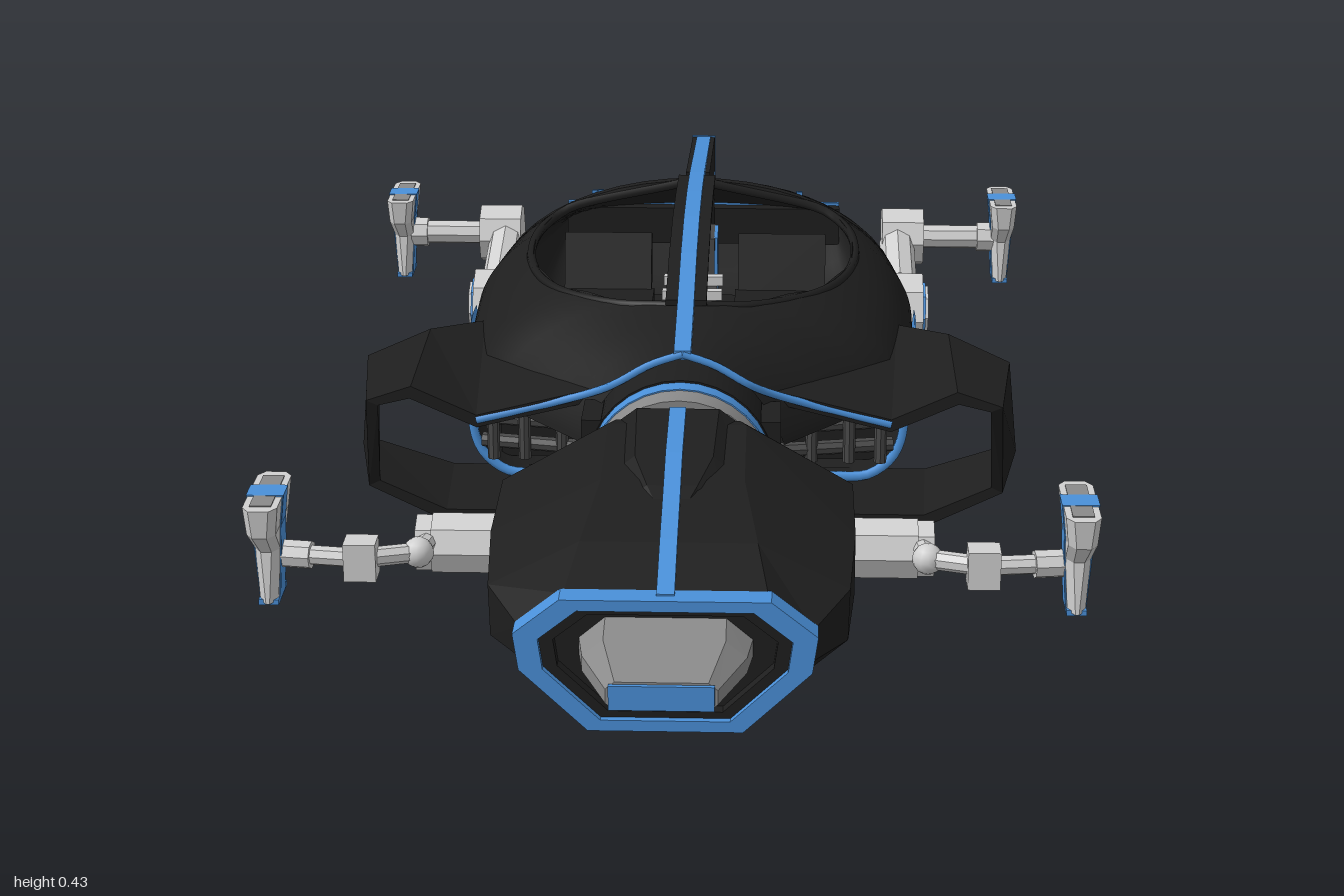
import * as THREE from 'three';
import { toCreasedNormals } from 'three/addons/utils/BufferGeometryUtils.js';

const paint = (name, color, side = THREE.FrontSide) => {
  const m = new THREE.MeshStandardMaterial({ color, side });
  m.name = name;
  return m;
};

// Linear lookup in a short [key, value] table
function lerpTable(table, k) {
  for (let i = 1; i < table.length; i++) {
    const [a, u] = table[i - 1], [b, v] = table[i];
    if (k <= b) return u + (v - u) * Math.max(0, (k - a) / (b - a));
  }
  return table[table.length - 1][1];
}

// Skin over cross-sections; winding is made to face outward
function loft(sections, { closed = true, crease = 0 } = {}) {
  const tris = [];
  const n = sections[0].length;
  for (let i = 0; i + 1 < sections.length; i++) {
    const A = sections[i], B = sections[i + 1];
    for (let j = 0; j < (closed ? n : n - 1); j++) {
      const k = (j + 1) % n;
      tris.push([A[j], B[j], B[k]], [A[j], B[k], A[k]]);
    }
  }
  if (closed) {
    [sections[0], sections[sections.length - 1]].forEach((S, end) => {
      const c = [0, 1, 2].map(a => S.reduce((s, p) => s + p[a], 0) / n);
      S.forEach((p, j) => tris.push(end ? [c, S[(j + 1) % n], p] : [c, p, S[(j + 1) % n]]));
    });
  }
  const o = sections[0][0];
  const v = (p) => new THREE.Vector3(p[0] - o[0], p[1] - o[1], p[2] - o[2]);
  const volume = tris.reduce((s, [a, b, c]) => s + v(a).dot(v(b).cross(v(c))), 0);
  if (volume < 0) tris.forEach(t => t.reverse());
  const geo = new THREE.BufferGeometry();
  geo.setAttribute('position', new THREE.Float32BufferAttribute(tris.flat(2), 3));
  geo.computeVertexNormals();
  return crease ? toCreasedNormals(geo, crease) : geo;
}

// Section symmetric in x, from its right half listed top to bottom
const sym = (z, half) => [...half.map(([x, y]) => [x, y, z]), ...half.map(([x, y]) => [-x, y, z]).reverse()];

function mirrored(geo) {
  const g = geo.index ? geo.toNonIndexed() : geo.clone();
  g.scale(-1, 1, 1);
  for (const key of ['position', 'normal']) {
    const a = g.attributes[key];
    for (let i = 0; i < a.count; i += 3) {
      const p = [a.getX(i), a.getY(i), a.getZ(i)];
      a.setXYZ(i, a.getX(i + 2), a.getY(i + 2), a.getZ(i + 2));
      a.setXYZ(i + 2, ...p);
    }
  }
  return g;
}

const box = (w, h, d, x, y, z) => new THREE.BoxGeometry(w, h, d).translate(x, y, z);

function rod(a, b, r, sides = 8) {
  const A = new THREE.Vector3(...a), B = new THREE.Vector3(...b);
  const dir = B.clone().sub(A);
  const q = new THREE.Quaternion().setFromUnitVectors(new THREE.Vector3(0, 1, 0), dir.clone().normalize());
  const g = new THREE.CylinderGeometry(r, r, dir.length(), sides).applyQuaternion(q);
  const m = A.add(B).multiplyScalar(0.5);
  return toCreasedNormals(g.translate(m.x, m.y, m.z), 0.4);
}

// Narrow bar following [z, y] points, its top at y
const strip = (pts, half, depth, x = 0) => loft(pts.map(([z, y]) =>
  [[x + half, y, z], [x + half, y - depth, z], [x - half, y - depth, z], [x - half, y, z]]));

// Main hull dimensions along z
const WIDTH = [[-1, 0.26], [-0.8, 0.31], [-0.6, 0.35], [-0.4, 0.375], [-0.2, 0.37], [-0.05, 0.35], [0.05, 0.28], [0.1, 0.24], [0.2, 0.155]];
const TOP = [[-1, 0.235], [-0.85, 0.31], [-0.73, 0.36], [-0.55, 0.412], [-0.4, 0.422], [-0.25, 0.418], [-0.1, 0.4], [0.04, 0.37], [0.2, 0.345]];
const BOTTOM = [[-1, 0.165], [-0.85, 0.08], [-0.7, 0.042], [-0.4, 0.03], [-0.05, 0.03]];
const OPENING = [[-0.526, 0], [-0.52, 0.215], [-0.5, 0.245], [-0.4, 0.27], [-0.25, 0.265], [-0.1, 0.21], [0, 0.11], [0.04, 0]];
const SPINE = [[-0.99, 0.37], [-0.8, 0.392], [-0.55, 0.422], [-0.4, 0.431], [-0.25, 0.43], [-0.1, 0.414], [0.04, 0.384], [0.21, 0.354]];
const ROUNDNESS = [[-0.3, 0.5], [0.2, 0.8]];
const MID = 0.2;
const widthAt = z => lerpTable(WIDTH, z);
const deckY = (x, z) => MID + (lerpTable(TOP, z) - MID) * Math.pow(Math.max(0, 1 - (x / widthAt(z)) ** 2), lerpTable(ROUNDNESS, z));
const sideX = (y, z) => widthAt(z) * Math.pow(Math.max(0, 1 - Math.max(0, (MID - y) / (MID - lerpTable(BOTTOM, z))) ** 4), 0.25);

export function createModel() {
  const group = new THREE.Group();
  const black = paint('black shell', 0x1e1e1e, THREE.DoubleSide);
  const blue = paint('blue trim', 0x4a90d9, THREE.DoubleSide);
  const light = paint('light grey', 0xd0d0d0);
  const grey = paint('mid grey', 0x8a8a8a);
  const dark = paint('dark grey', 0x484848);
  const add = (name, geo, mat) => {
    const m = new THREE.Mesh(geo, mat);
    m.name = name;
    group.add(m);
  };
  const pair = (name, geo, mat) => { add(name + 'Left', geo, mat); add(name + 'Right', mirrored(geo), mat); };

  // Upper deck, its inner edge following the cockpit opening
  const zs = [-1, -0.93, -0.85, -0.79, -0.73, -0.64, -0.55, -0.526, -0.52, -0.5, -0.45, -0.4, -0.33, -0.25, -0.18, -0.1, -0.05, 0, 0.04, 0.1, 0.15, 0.2];
  const inOpening = z => z > -0.526 && z < 0.04 ? lerpTable(OPENING, z) : 0;
  pair('upperDeck', loft(zs.map(z => Array.from({ length: 13 }, (_, i) => {
    const a0 = Math.asin(inOpening(z) / widthAt(z)), a = a0 + (Math.PI / 2 - a0) * i / 12;
    const x = widthAt(z) * Math.sin(a);
    return [x, deckY(x, z), z];
  })), { closed: false, crease: 0.5 }), black);

  // Boxy lower hull
  const lowerHalf = z => Array.from({ length: 13 }, (_, i) => {
    const a = Math.PI / 2 * i / 12;
    return [widthAt(z) * Math.sqrt(Math.cos(a)), MID - (MID - lerpTable(BOTTOM, z)) * Math.sqrt(Math.sin(a)), z];
  });
  pair('lowerHull', loft(zs.filter(z => z <= -0.05).map(lowerHalf), { closed: false, crease: 0.5 }), black);

  // Cockpit rim, central frame, floor and seats
  const rim = OPENING.slice(1, -1).map(([z, x]) => new THREE.Vector3(x, deckY(x, z) - 0.005, z));
  rim.unshift(new THREE.Vector3(0.03, deckY(0.03, -0.526) - 0.005, -0.526));
  rim.push(new THREE.Vector3(0.03, deckY(0.03, 0.03) - 0.005, 0.03));
  pair('cockpitRim', new THREE.TubeGeometry(new THREE.CatmullRomCurve3(rim, false, 'centripetal'), 48, 0.008, 6), black);
  add('canopyFrame', strip(SPINE.slice(2, 7).map(([z, y]) => [z, y - 0.005]), 0.032, 0.009), black);
  add('cockpitFloor', box(0.54, 0.01, 0.54, 0, 0.195, -0.27), black);
  add('console', box(0.08, 0.08, 0.38, 0, 0.24, -0.23), dark);
  for (let i = 0; i < 4; i++) add('consoleRung' + i, box(0.1, 0.016, 0.016, 0, 0.288, -0.35 + i * 0.08), light);
  add('divider', box(0.07, 0.15, 0.09, 0, 0.275, -0.43), dark);
  pair('dividerPanel', box(0.006, 0.12, 0.08, 0.037, 0.29, -0.43), blue);
  pair('seat', box(0.16, 0.05, 0.2, 0.15, 0.225, -0.32), black);
  pair('seatBack', box(0.15, 0.13, 0.035, 0, 0, 0).rotateX(-0.35).translate(0.15, 0.275, -0.44), black);
  pair('dashboard', box(0.12, 0.04, 0.05, 0.1, 0.26, -0.1), dark);

  // Centre fin, spine stripe and rear trim
  add('rearFin', loft([[-0.992, 0.04, 0.368], [-0.8, 0.04, 0.388], [-0.6, 0.06, 0.408]].map(([z, b, t]) =>
    sym(z, [[0.021, t], [0.021, b]]))), black);
  add('spineStripe', strip(SPINE, 0.013, 0.014), blue);
  add('finStripe', box(0.044, 0.33, 0.007, 0, 0.205, -0.9955), blue);
  add('finInset', box(0.018, 0.3, 0.002, 0, 0.205, -0.999), black);
  add('rearBar', box(0.52, 0.07, 0.03, 0, 0.2, -0.98), black);
  for (const y of [0.165, 0.236]) pair('rearBarTrim', box(0.24, 0.008, 0.009, 0.14, y, -0.995), blue);
  pair('rearLight', box(0.18, 0.026, 0.006, 0.145, 0.198, -0.997), blue);
  pair('deckDash', strip([-0.73, -0.64, -0.55].map(z => [z, deckY(0.18, z) + 0.005]), 0.005, 0.012, 0.18), blue);

  // Intake lip, front trim and side vent
  const tube = (pts, r) => new THREE.TubeGeometry(new THREE.CatmullRomCurve3(pts.map(p => new THREE.Vector3(...p)), false, 'centripetal'), 24, r, 6);
  pair('intakeLip', tube(lowerHalf(-0.05).slice(0, 12).map(([x, y, z]) => [x, Math.max(y, 0.053), z + 0.005]), 0.008), blue);
  pair('deckLip', tube([[0, 0.348, 0.207], [0.05, 0.33, 0.207], [0.1, 0.3, 0.205], [0.13, 0.28, 0.185], [0.2, 0.252, 0.164], [0.32, 0.222, 0.164]], 0.006), blue);
  const sidePanel = rows => loft(rows.map(([y, z0, z1]) => [0, 1, 2, 3].map(i => {
    const z = z0 + (z1 - z0) * i / 3;
    return [sideX(y, z) + 0.006, y, z];
  })), { closed: false });
  const ventRear = [[0.05, -0.472], [0.08, -0.478], [0.218, -0.415]];
  const ventFront = [[0.05, -0.42], [0.08, -0.39], [0.17, -0.355], [0.218, -0.3]];
  const ventRows = [0.218, 0.19, 0.16, 0.13, 0.11, 0.095, 0.08, 0.07, 0.06, 0.05];
  pair('sideVent', sidePanel(ventRows.map(y => [y, lerpTable(ventRear, y), lerpTable(ventFront, y)])), blue);
  pair('sideLine', sidePanel([[0.218, -0.34, -0.05], [0.205, -0.34, -0.05]]), blue);

  // Intake wall and ribs
  add('intakeWall', box(0.62, 0.21, 0.01, 0, 0.16, -0.12), black);
  for (const y of [0.12, 0.16, 0.2]) pair('intakePipe', rod([0.12, y, 0.02], [0.33, y, -0.02], 0.012), dark);
  for (const x of [0.2, 0.26, 0.31]) pair('intakeStrut', rod([x, 0.1, 0.01], [x, 0.23, 0.01], 0.01), dark);

  // Hoop wings: outer front and back edges, inner skin offset inward
  const front = [[0.1, 0.285, 0.165], [0.32, 0.23, 0.165], [0.42, 0.276, 0.165], [0.49, 0.252, 0.165], [0.5, 0.085, 0.1], [0.38, 0.026, 0.1], [0, 0.026, 0.1]];
  const back = [[0.1, 0.29, -0.1], [0.34, 0.265, -0.19], [0.42, 0.28, -0.1], [0.515, 0.254, -0.04], [0.535, 0.085, -0.085], [0.39, 0.026, -0.1], [0, 0.026, -0.1]];
  const inset = (pts, i) => {
    const a = pts[Math.max(0, i - 1)], b = pts[Math.min(pts.length - 1, i + 1)];
    const dx = b[0] - a[0], dy = b[1] - a[1], k = 0.02 / Math.hypot(dx, dy);
    return [pts[i][0] + dy * k, pts[i][1] - dx * k, pts[i][2]];
  };
  pair('hoopWing', loft(front.map((p, i) => [p, back[i], inset(back, i), inset(front, i)])), black);

  // Neck joint
  const drum = (r, z0, z1, y = 0.19) => rod([0, y, z0], [0, y, z1], r, 32);
  add('neck', drum(0.14, -0.1, 0.28, 0.192), black);
  pair('neckCheek', box(0.03, 0.15, 0.09, 0.135, 0.19, 0.23), black);
  add('neckBand', drum(0.139, 0.28, 0.31), blue);
  add('neckRing', drum(0.137, 0.31, 0.355), grey);
  add('neckCollar', drum(0.122, 0.35, 0.41), black);

  // Front pod
  const mouth = [[0.135, 0.238], [0.195, 0.19], [0.188, 0.14], [0.1, 0.055]];
  add('frontPod', loft([
    sym(0.39, [[0.09, 0.31], [0.24, 0.22], [0.24, 0.13], [0.1, 0.008]]),
    sym(0.42, [[0.1, 0.315], [0.255, 0.225], [0.255, 0.13], [0.11, 0]]),
    sym(0.6, [[0.1, 0.3], [0.255, 0.22], [0.255, 0.13], [0.11, 0.002]]),
    sym(0.75, [[0.12, 0.27], [0.245, 0.205], [0.243, 0.13], [0.105, 0.02]]),
    sym(0.85, mouth)]), black);
  add('podHump', loft([
    sym(0.39, [[0.06, 0.328], [0.11, 0.29]]),
    sym(0.55, [[0.055, 0.316], [0.1, 0.28]]),
    sym(0.62, [[0.035, 0.3], [0.075, 0.27]]),
    sym(0.66, [[0.02, 0.286], [0.04, 0.26]])]), black);
  add('podStripe', strip([[0.4, 0.334], [0.55, 0.322], [0.66, 0.294], [0.75, 0.275], [0.86, 0.243]], 0.012, 0.015), blue);
  const outline = k => sym(0, mouth).map(([x, y]) => new THREE.Vector2(x * k, 0.147 + (y - 0.147) * k));
  const frame = (name, k0, k1, z, depth, mat) => {
    const s = new THREE.Shape(outline(k0));
    s.holes.push(new THREE.Path(outline(k1)));
    add(name, new THREE.ExtrudeGeometry(s, { depth, bevelEnabled: false }).translate(0, 0, z), mat);
  };
  frame('mouthFrame', 1.03, 0.86, 0.84, 0.038, blue);
  frame('mouthLiner', 0.86, 0.76, 0.84, 0.028, black);
  add('nose', loft([
    sym(0.85, [[0.08, 0.205], [0.115, 0.175], [0.115, 0.15], [0.08, 0.12]]),
    sym(0.9, [[0.08, 0.195], [0.108, 0.172], [0.108, 0.15], [0.08, 0.128]]),
    sym(0.994, [[0.06, 0.18], [0.072, 0.17], [0.072, 0.15], [0.06, 0.14]])]), grey);
  add('noseLight', box(0.136, 0.034, 0.006, 0, 0.16, 0.997), blue);

  // Stabiliser feet with chamfered ends
  const foot = (name, zc) => {
    const levels = [[0.292, 0.535, 0.583, 0.075], [0.25, 0.54, 0.58, 0.07], [0.215, 0.541, 0.576, 0.034], [0.14, 0.546, 0.571, 0.042]];
    const body = (grow, half, cut) => loft(levels.map(([y, x0, x1, h], i) => {
      const d = half ?? h, yy = y + (i === 0 ? grow : i === 3 ? -grow : 0);
      const a = x0 - grow, b = x1 + grow, e = d - cut * 1.5;
      return [[a + cut, -d], [b - cut, -d], [b, -e], [b, e], [b - cut, d], [a + cut, d], [a, e], [a, -e]].map(([x, z]) => [x, yy, zc + z]);
    }));
    pair(name, body(0, null, 0.01), light);
    pair(name + 'Stripe', body(0.002, 0.02, 0.001), blue);
    pair(name + 'TopPlate', box(0.03, 0.003, 0.115, 0.559, 0.292, zc), grey);
    pair(name + 'Sole', box(0.028, 0.008, 0.07, 0.5585, 0.14, zc), blue);
  };
  const ball = (p, r) => new THREE.SphereGeometry(r, 12, 8).translate(...p);

  // Front arms
  foot('frontFoot', 0.64);
  pair('frontArmDrum', rod([0.23, 0.17, 0.525], [0.345, 0.17, 0.525], 0.046), light);
  pair('frontArmCap', rod([0.345, 0.17, 0.525], [0.368, 0.17, 0.525], 0.043), light);
  const joints = [[0.35, 0.18, 0.54], [0.355, 0.195, 0.62], [0.43, 0.2, 0.655], [0.545, 0.2, 0.64]];
  joints.slice(1).forEach((p, i) => pair('frontArmLink', rod(joints[i], p, 0.014), light));
  pair('frontElbow', ball(joints[1], 0.022), light);
  pair('frontWrist', box(0.045, 0.055, 0.04, ...joints[2]), light);
  pair('frontAnkle', rod([0.5, 0.2, 0.646], [0.545, 0.2, 0.64], 0.02), light);

  // Rear arms
  foot('rearFoot', -0.86);
  pair('rearArmHub', rod([0.3, 0.14, -0.645], [0.405, 0.14, -0.645], 0.07), light);
  pair('rearHubRing', rod([0.4, 0.14, -0.645], [0.41, 0.14, -0.645], 0.053), blue);
  pair('rearHubCap', rod([0.4, 0.14, -0.645], [0.415, 0.14, -0.645], 0.046), light);
  pair('rearArmLink', rod([0.365, 0.175, -0.67], [0.365, 0.212, -0.83], 0.032), light);
  pair('rearArmBlock', rod([0.337, 0.215, -0.858], [0.414, 0.215, -0.858], 0.054), light);
  pair('rearArmBar', rod([0.38, 0.215, -0.86], [0.55, 0.215, -0.86], 0.022), light);
  pair('rearAnkle', rod([0.515, 0.215, -0.86], [0.545, 0.215, -0.86], 0.028), light);
  return group;
}
